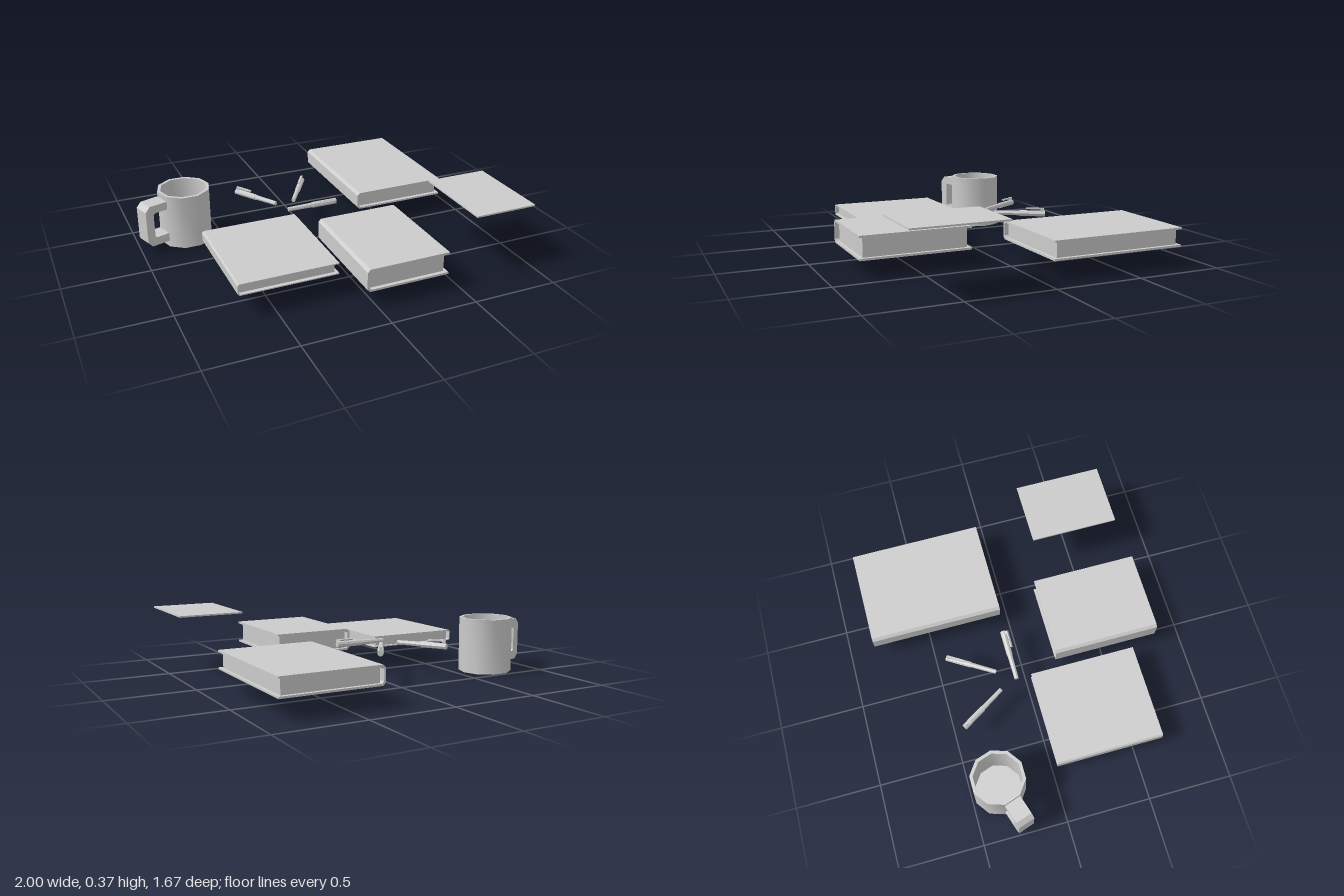
import * as THREE from 'three';
import { toCreasedNormals } from 'three/addons/utils/BufferGeometryUtils.js';

const grey = new THREE.MeshStandardMaterial({ color: 0xcccccc });
const flat = new THREE.MeshStandardMaterial({ color: 0xcccccc, flatShading: true });

function add(parent, name, geometry, material = grey) {
  const mesh = new THREE.Mesh(geometry, material);
  mesh.name = name;
  parent.add(mesh);
  return mesh;
}

// Box given by its two opposite corners
function boxBetween(x0, y0, z0, x1, y1, z1) {
  return new THREE.BoxGeometry(x1 - x0, y1 - y0, z1 - z0)
    .translate((x0 + x1) / 2, (y0 + y1) / 2, (z0 + z1) / 2);
}

// Straight-edged profile in x/y, extruded along z from z0 to z1
function extrude(points, z0, z1) {
  const shape = new THREE.Shape(points.map(([x, y]) => new THREE.Vector2(x, y)));
  return new THREE.ExtrudeGeometry(shape, { depth: z1 - z0, bevelEnabled: false }).translate(0, 0, z0);
}

// Ten-sided mug with an angular handle
function createMug() {
  const mug = new THREE.Group();
  mug.name = 'mug';
  const profile = [[0, 0], [0.157, 0], [0.157, 0.325], [0.138, 0.325], [0.138, 0.02], [0, 0.02]]
    .map(([x, y]) => new THREE.Vector2(x, y));
  const body = new THREE.LatheGeometry(profile, 10, Math.PI / 2 + Math.PI / 10);
  add(mug, 'mugBody', toCreasedNormals(body, 0.7));
  add(mug, 'mugHandle', extrude([
    [-0.145, 0.295], [-0.262, 0.295], [-0.29, 0.265], [-0.29, 0.07], [-0.262, 0.04], [-0.145, 0.04],
    [-0.145, 0.09], [-0.23, 0.09], [-0.24, 0.1], [-0.24, 0.236], [-0.23, 0.246], [-0.145, 0.246],
  ], -0.05, 0.05));
  mug.position.set(-0.705, 0, -0.332);
  mug.rotation.y = Math.PI / 10;
  return mug;
}

// Book with a wrapped cover, bevelled spine on -x and inset pages
function createBook(name, [x0, x1], [y0, y1], [z0, z1], t, c) {
  const book = new THREE.Group();
  book.name = name;
  const k = c * 0.7;
  add(book, 'cover', extrude([
    [x1, y0], [x1, y0 + t], [x0 + t + k, y0 + t], [x0 + t, y0 + t + k],
    [x0 + t, y1 - t - k], [x0 + t + k, y1 - t], [x1, y1 - t], [x1, y1],
    [x0 + c, y1], [x0, y1 - c], [x0, y0 + c], [x0 + c, y0],
  ], z0, z1));
  add(book, 'pages', boxBetween(x0 + t + k, y0 + t, z0 + 0.022, x1 - 0.02, y1 - t, z1 - 0.022));
  return book;
}

// Pen lying along x, cap towards +x, clip on top before rolling
function createPen(x, z, heading, roll) {
  const pen = new THREE.Group();
  pen.name = 'pen';
  const rod = (name, r0, r1, a, b) => add(pen, name,
    new THREE.CylinderGeometry(r1, r0, b - a, 8).rotateZ(-Math.PI / 2).translate((a + b) / 2, 0, 0), flat);
  rod('barrel', 0.013, 0.015, -0.155, 0.005);
  rod('cap', 0.018, 0.018, 0, 0.155);
  add(pen, 'clip', boxBetween(0.04, 0.026, -0.007, 0.148, 0.034, 0.007));
  add(pen, 'clipMount', boxBetween(0.128, 0.01, -0.007, 0.148, 0.026, 0.007));
  pen.rotation.order = 'YXZ';
  pen.rotation.set(roll, THREE.MathUtils.degToRad(heading), 0);
  pen.position.set(x, 0.19, z);
  return pen;
}

export function createModel() {
  const model = new THREE.Group();
  model.name = 'deskItems';
  model.add(createMug());

  // Three books of different sizes
  model.add(
    createBook('largeBook', [0.31, 0.89], [0.112, 0.219], [-0.838, -0.048], 0.011, 0.016),
    createBook('thickBook', [-0.06, 0.425], [0.098, 0.231], [0.2, 0.832], 0.012, 0.016),
    createBook('thinBook', [-0.70, -0.137], [0.132, 0.199], [0.022, 0.655], 0.006, 0.009),
  );

  // Pens arranged in a triangle
  model.add(
    createPen(0.015, -0.067, 0, 0.9),
    createPen(-0.262, -0.305, 122, 0),
    createPen(0.017, -0.305, 58, 0),
  );

  // Thin sheet of paper
  add(model, 'paperSheet', boxBetween(0.625, 0.365, 0.25, 1, 0.374, 0.77));
  return model;
}
